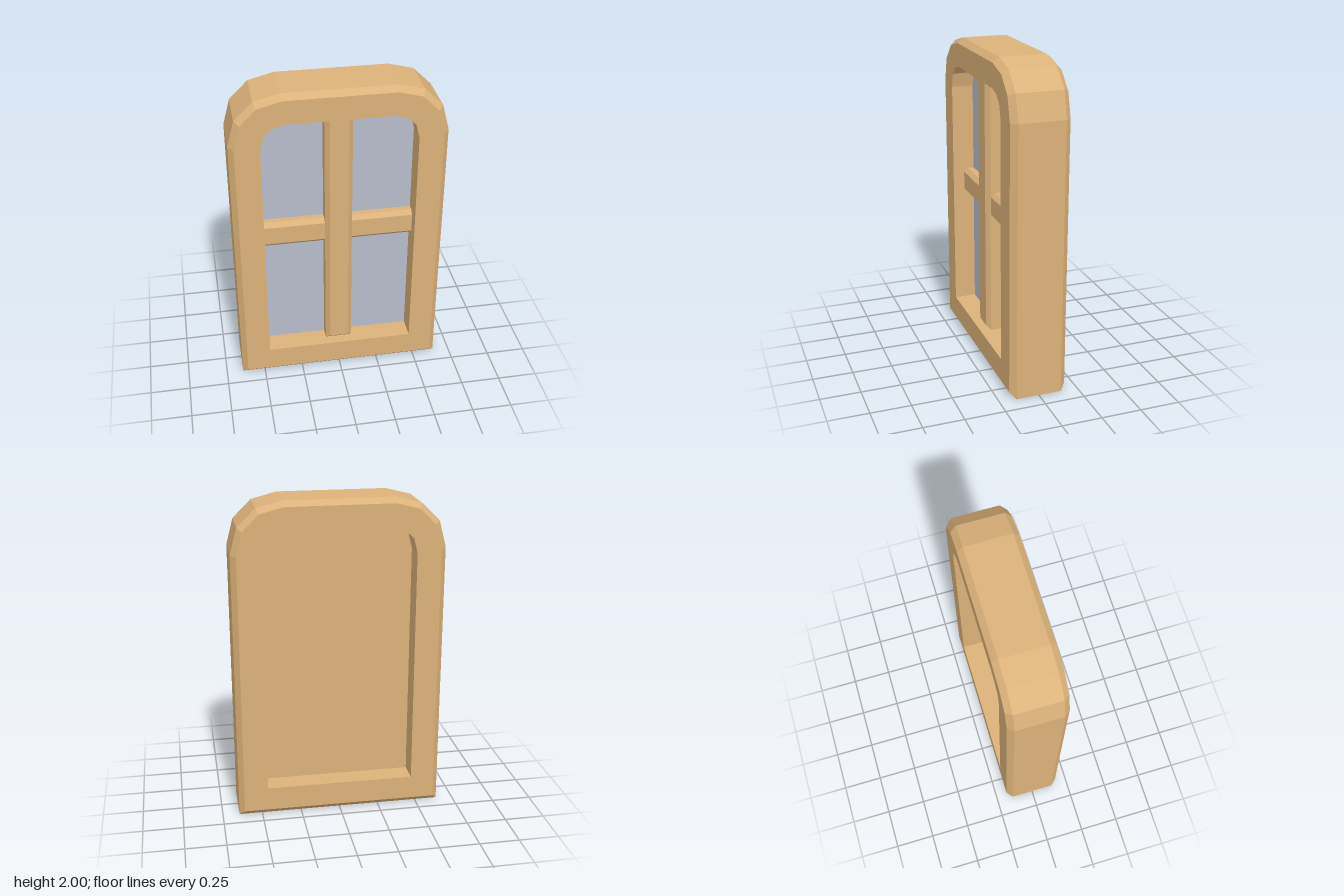
import * as THREE from 'three';

const wood = new THREE.MeshStandardMaterial({ color: 0xdcb27a, flatShading: true });
const glass = new THREE.MeshStandardMaterial({ color: 0xb8bccb, flatShading: true });

// Arched outline, counter-clockwise: bottom corners, then four points per shoulder
function outline(bottom, shoulder) {
  const w = shoulder[0][0];
  const left = shoulder.map(([x, y]) => [-x, y]).reverse();
  return [[-w, bottom], [w, bottom], ...shoulder, ...left];
}

const outer = outline(0, [[0.645, 1.69], [0.602, 1.85], [0.49, 1.96], [0.335, 2]]);
const bevelled = outline(0.036, [[0.612, 1.685], [0.573, 1.832], [0.474, 1.93], [0.33, 1.968]]);
const opening = outline(0.185, [[0.463, 1.665], [0.44, 1.755], [0.39, 1.802], [0.32, 1.822]]);

// Joins a closed chain of outlines, each at its own depth
function loft(rings) {
  const pos = [];
  rings.forEach(([a, za], r) => {
    const [b, zb] = rings[(r + 1) % rings.length];
    a.forEach((p, i) => {
      const j = (i + 1) % a.length;
      pos.push(...p, za, ...b[i], zb, ...b[j], zb);
      pos.push(...p, za, ...b[j], zb, ...a[j], za);
    });
  });
  const g = new THREE.BufferGeometry();
  g.setAttribute('position', new THREE.Float32BufferAttribute(pos, 3));
  g.computeVertexNormals();
  return g;
}

// Extrudes an outline from z0 to z1, with an optional chamfer
function slab(points, z0, z1, b = 0) {
  const shape = new THREE.Shape(points.map(([x, y]) => new THREE.Vector2(x, y)));
  const g = new THREE.ExtrudeGeometry(shape, {
    depth: z1 - z0 - 2 * b, bevelEnabled: b > 0, bevelSegments: 1,
    bevelSize: b, bevelThickness: b, bevelOffset: -b,
  });
  return g.translate(0, 0, z0 + b);
}

const rect = (x, y0, y1) => [[-x, y0], [x, y0], [x, y1], [-x, y1]];

export function createModel() {
  const group = new THREE.Group();
  group.name = 'window';
  const add = (name, geometry, material) => {
    const mesh = new THREE.Mesh(geometry, material);
    mesh.name = name;
    group.add(mesh);
  };

  // Frame with chamfered outer edges and a square-cut opening
  add('frame', loft([
    [opening, 0.178], [bevelled, 0.178], [outer, 0.142],
    [outer, -0.142], [bevelled, -0.178], [opening, -0.178],
  ]), wood);

  // Pane in front, wooden panel behind it
  add('glassPane', slab(opening, 0.03, 0.04), glass);
  add('backPanel', slab(opening, -0.04, 0.03), wood);

  // Glazing bars; ends run into the frame
  add('verticalBar', slab(rect(0.084, 0.185, 1.86), 0, 0.135, 0.026), wood);
  add('horizontalBar', slab(rect(0.5, 0.946, 1.112), 0, 0.105, 0.025), wood);

  return group;
}
